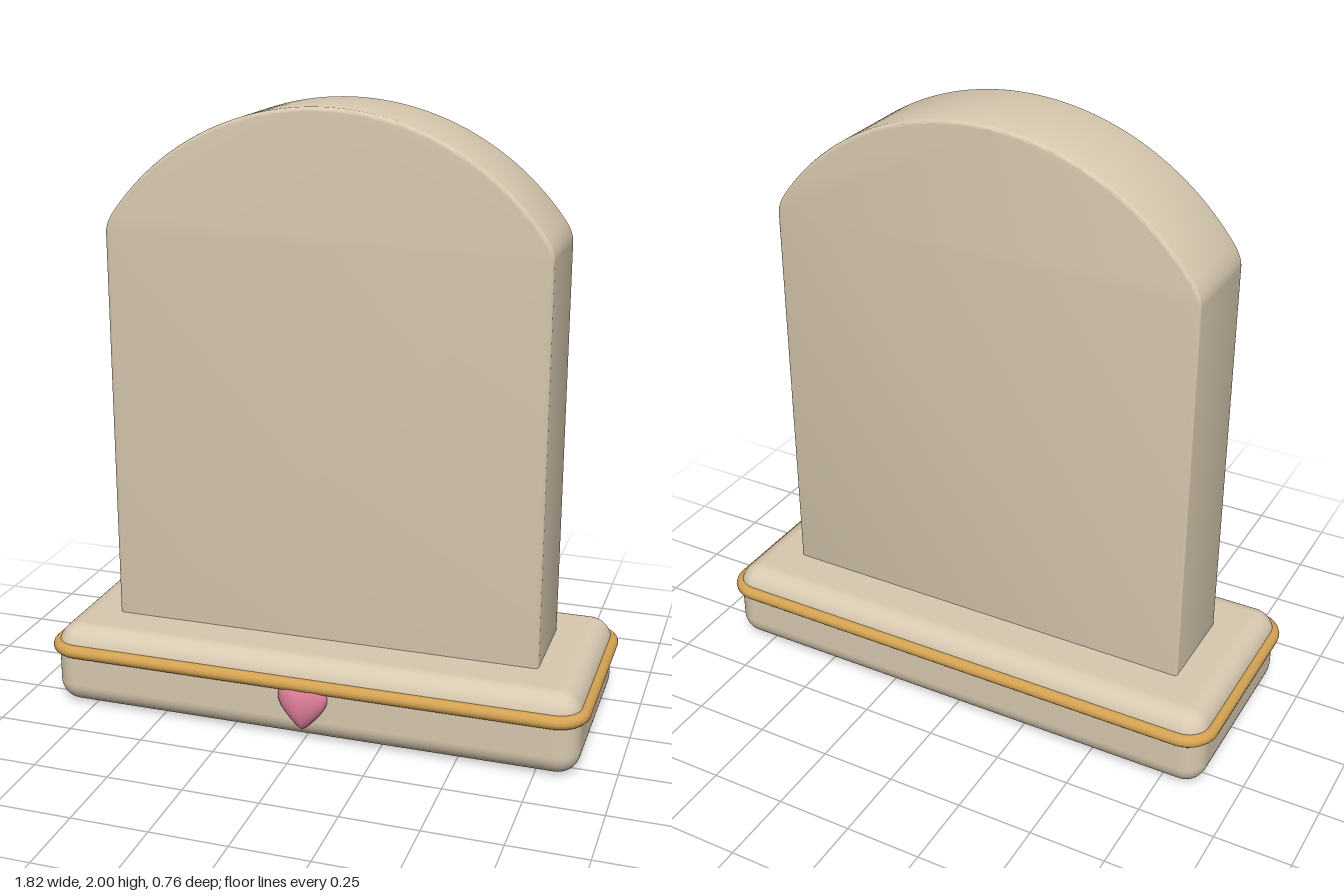
import * as THREE from 'three';
import { RoundedBoxGeometry } from 'three/addons/geometries/RoundedBoxGeometry.js';
import { toCreasedNormals } from 'three/addons/utils/BufferGeometryUtils.js';

const Z = -0.005; // shared depth centre of slab, plinth and trim

const stone = new THREE.MeshStandardMaterial({ name: 'stone', color: 0xd8c9b0 });
const gold = new THREE.MeshStandardMaterial({ name: 'gold', color: 0xd4a352 });
const pink = new THREE.MeshStandardMaterial({ name: 'pink', color: 0xd87a94 });

function part(name, geometry, material) {
  const mesh = new THREE.Mesh(geometry, material);
  mesh.name = name;
  return mesh;
}

// Upright slab with a shallow arched top and softened shoulders
function slabGeometry() {
  const w = 0.72, depth = 0.323, bevel = 0.012, radius = 0.86;
  const angle = Math.acos(0.69 / radius);
  const shape = new THREE.Shape();
  shape.moveTo(-w, 0.1);
  shape.lineTo(w, 0.1);
  shape.lineTo(w, 1.58);
  shape.quadraticCurveTo(w, 1.613, 0.69, 2 - radius + radius * Math.sin(angle));
  shape.absarc(0, 2 - radius, radius, angle, Math.PI - angle, false);
  shape.quadraticCurveTo(-w, 1.613, -w, 1.58);
  const geometry = new THREE.ExtrudeGeometry(shape, {
    depth: depth - 2 * bevel, curveSegments: 32,
    bevelThickness: bevel, bevelSize: bevel, bevelOffset: -bevel, bevelSegments: 3,
  });
  geometry.translate(0, 0, Z - depth / 2 + bevel);
  return toCreasedNormals(geometry, 0.7);
}

// Round bar following a rounded rectangle in the horizontal plane
function trimGeometry() {
  const x = 0.888, z = 0.352, r = 0.085;
  const v = (a, b) => new THREE.Vector3(a, 0, b);
  const path = new THREE.CurvePath();
  const corners = [[1, 1], [1, -1], [-1, -1], [-1, 1]];
  corners.forEach(([sx, sz], i) => {
    const [nx, nz] = corners[(i + 1) % 4];
    const alongX = v(sx * (x - r), sz * z), alongZ = v(sx * x, sz * (z - r));
    const leavesAlongZ = sx === nx;
    const start = leavesAlongZ ? alongX : alongZ;
    const end = leavesAlongZ ? alongZ : alongX;
    const next = leavesAlongZ ? v(nx * x, nz * (z - r)) : v(nx * (x - r), nz * z);
    // Control points at 0.552 r make a quarter circle
    const corner = v(sx * x, sz * z);
    path.add(new THREE.CubicBezierCurve3(start, start.clone().lerp(corner, 0.552),
      end.clone().lerp(corner, 0.552), end));
    path.add(new THREE.LineCurve3(end, next));
  });
  return new THREE.TubeGeometry(path, 260, 0.022, 12, true);
}

// Puffed heart: a sphere lifted at the sides and tapered below
function heartGeometry() {
  const geometry = new THREE.SphereGeometry(1, 48, 32);
  const p = geometry.attributes.position;
  for (let i = 0; i < p.count; i++) {
    const x = p.getX(i), y = p.getY(i), z = p.getZ(i);
    const taper = y < 0 ? 1 - 0.25 * y * y : 1;
    p.setXYZ(i, x * taper * 0.083, (0.8 * y + 0.45 * Math.abs(x)) * 0.09, z * 0.036);
  }
  geometry.computeVertexNormals();
  return geometry;
}

export function createModel() {
  const group = new THREE.Group();
  group.name = 'headstone';

  const plinth = part('plinth', new RoundedBoxGeometry(1.77, 0.275, 0.7, 6, 0.075), stone);
  plinth.position.set(0, 0.1375, Z);

  const trim = part('plinthTrim', trimGeometry(), gold);
  trim.position.set(0, 0.198, Z);

  const heart = part('heart', heartGeometry(), pink);
  heart.position.set(0, 0.115, 0.345);

  group.add(part('slab', slabGeometry(), stone), plinth, trim, heart);
  return group;
}
